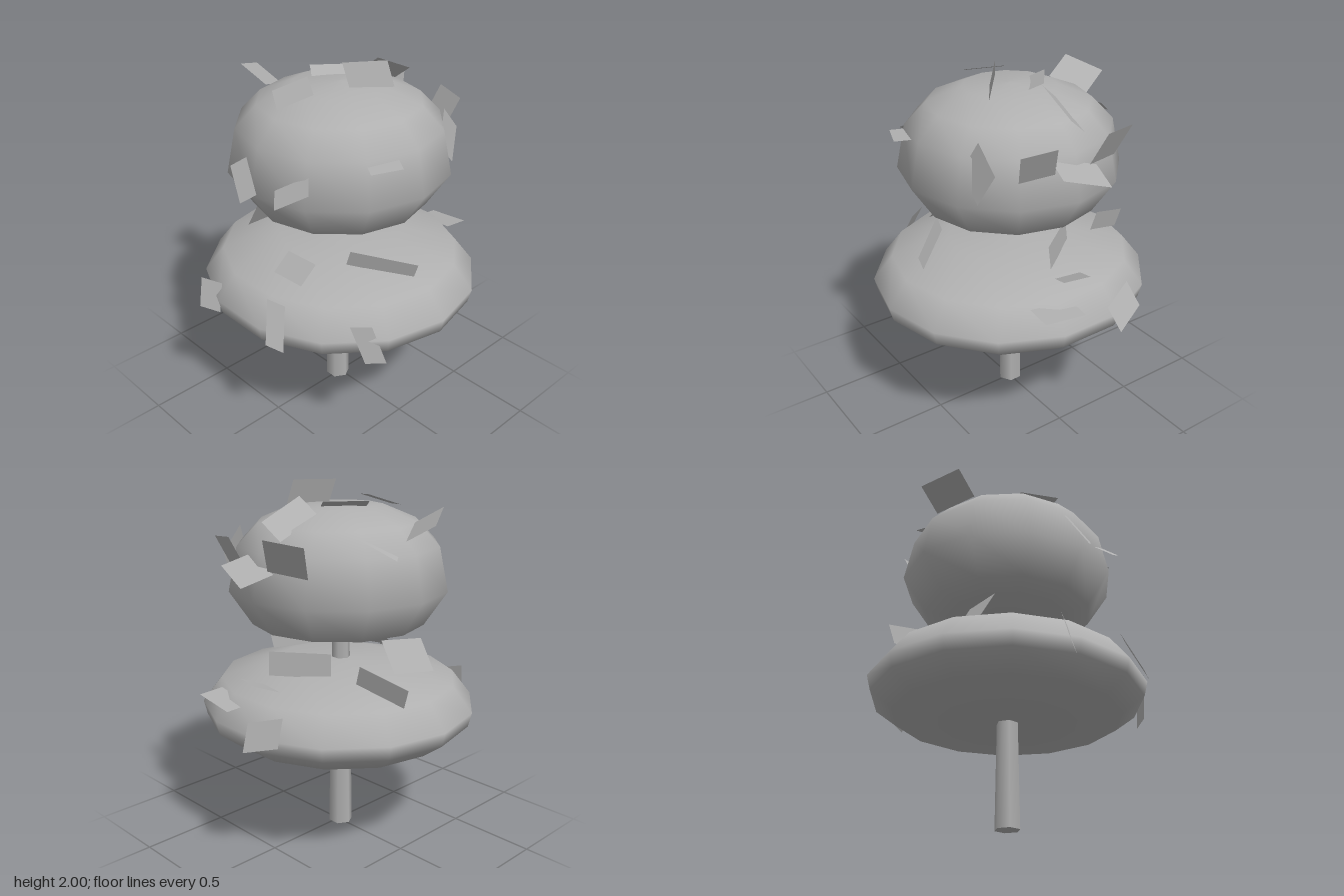
import * as THREE from 'three';

const foliage = new THREE.MeshStandardMaterial({ color: 0xb0b0b0, side: THREE.DoubleSide });
foliage.name = 'pale grey';

// Leaf cards, each given by three corners of a parallelogram
const upperLeaves = [
  [[-0.655, 1.825, 0.02], [-0.545, 1.89, 0.215], [-0.395, 1.8, 0.17]],
  [[-0.08, 1.54, -0.74], [0.163, 1.61, -0.67], [0.12, 1.66, -0.5]],
  [[0.16, 1.75, -0.62], [0.34, 1.73, -0.57], [0.3, 1.57, -0.5]],
  [[-0.35, 1.75, -0.57], [-0.13, 1.77, -0.64], [-0.08, 1.6, -0.57]],
  [[0.06, 2, 0.04], [0.19, 2, -0.15], [0.235, 1.87, -0.16]],
  [[0, 1.94, -0.28], [0.01, 1.83, -0.525], [-0.1, 1.74, -0.5]],
  [[-0.23, 1.91, 0], [-0.08, 1.91, -0.19], [0.05, 1.84, -0.1]],
  [[-0.17, 1.86, 0.31], [0.01, 1.84, 0.43], [0.1, 1.9, 0.27]],
  [[-0.14, 1.555, 0.62], [-0.07, 1.61, 0.57], [0.06, 1.465, 0.62]],
  [[0.365, 1.545, 0.55], [0.29, 1.6, 0.48], [0.14, 1.5, 0.57]],
  [[0.45, 1.65, 0.26], [0.51, 1.65, 0.1], [0.605, 1.64, 0.16]],
  [[0.47, 1.59, -0.26], [0.42, 1.755, -0.34], [0.41, 1.62, -0.465]],
  [[-0.56, 1.66, -0.15], [-0.41, 1.76, -0.26], [-0.35, 1.78, -0.18]],
];
const lowerLeaves = [
  [[-0.68, 1.03, -0.18], [-0.42, 1.115, -0.26], [-0.385, 1.01, -0.25]],
  [[-0.2, 1.13, -0.25], [0.07, 1.13, -0.45], [0.06, 1, -0.46]],
  [[0.05, 1.06, 0.42], [0.24, 1.05, 0.4], [0.235, 0.96, 0.5]],
  [[0.33, 1.1, 0.24], [0.59, 1.03, 0], [0.56, 0.94, 0]],
  [[-0.35, 1.14, 0.3], [-0.3, 1.17, 0.03], [-0.4, 1, 0.03]],
  [[-0.31, 0.87, 0.74], [-0.21, 0.85, 0.68], [-0.19, 0.69, 0.72]],
  [[0.18, 0.94, 0.68], [0.27, 0.92, 0.64], [0.34, 0.71, 0.72]],
  [[0.585, 0.88, 0.49], [0.64, 0.86, 0.39], [0.69, 0.63, 0.33]],
  [[-0.33, 0.78, -0.74], [-0.14, 0.72, -0.81], [-0.1, 0.85, -0.74]],
  [[0.055, 0.87, -0.75], [0.305, 0.9, -0.74], [0.295, 0.91, -0.6]],
  [[-0.1, 0.95, -0.5], [-0.05, 1.01, -0.65], [0.1, 1.01, -0.62]],
];

function makeLeaf(corners) {
  const [a, b, c] = corners.map((p) => new THREE.Vector3(...p));
  const d = a.clone().add(c).sub(b);
  const geometry = new THREE.BufferGeometry().setFromPoints([a, b, c, a, c, d]);
  geometry.computeVertexNormals();
  const leaf = new THREE.Mesh(geometry, foliage);
  leaf.name = 'leaf';
  return leaf;
}

// Smooth rounded crown turned from a few profile points, with its leaf cards
function makeCanopy(name, profile, sides, depth, leaves) {
  const group = new THREE.Group();
  group.name = name;
  const points = profile.map(([r, y]) => new THREE.Vector2(r, y));
  const crown = new THREE.Mesh(new THREE.LatheGeometry(points, sides), foliage);
  crown.name = name + 'Crown';
  crown.rotation.y = Math.PI / 2;
  crown.scale.x = depth; // local x runs along world z after the turn
  group.add(crown, ...leaves.map(makeLeaf));
  return group;
}

export function createModel() {
  const model = new THREE.Group();
  model.name = 'tree';

  // Slightly leaning six-sided trunk
  const trunkGeometry = new THREE.CylinderGeometry(0.048, 0.07, 1.3, 6);
  trunkGeometry.rotateY(Math.PI / 6 * 3);
  const trunk = new THREE.Mesh(trunkGeometry, foliage);
  trunk.name = 'trunk';
  trunk.position.set(-0.01, 0.65, 0.01);
  model.add(trunk);

  model.add(makeCanopy('lowerCanopy', [
    [0, 0.58], [0.38, 0.58], [0.64, 0.61], [0.76, 0.7], [0.78, 0.78],
    [0.67, 0.92], [0.35, 1.01], [0, 1.025],
  ], 14, 0.97, lowerLeaves));

  model.add(makeCanopy('upperCanopy', [
    [0, 1.195], [0.32, 1.2], [0.48, 1.24], [0.605, 1.43], [0.555, 1.67],
    [0.44, 1.79], [0.25, 1.87], [0, 1.885],
  ], 12, 1, upperLeaves));

  return model;
}
